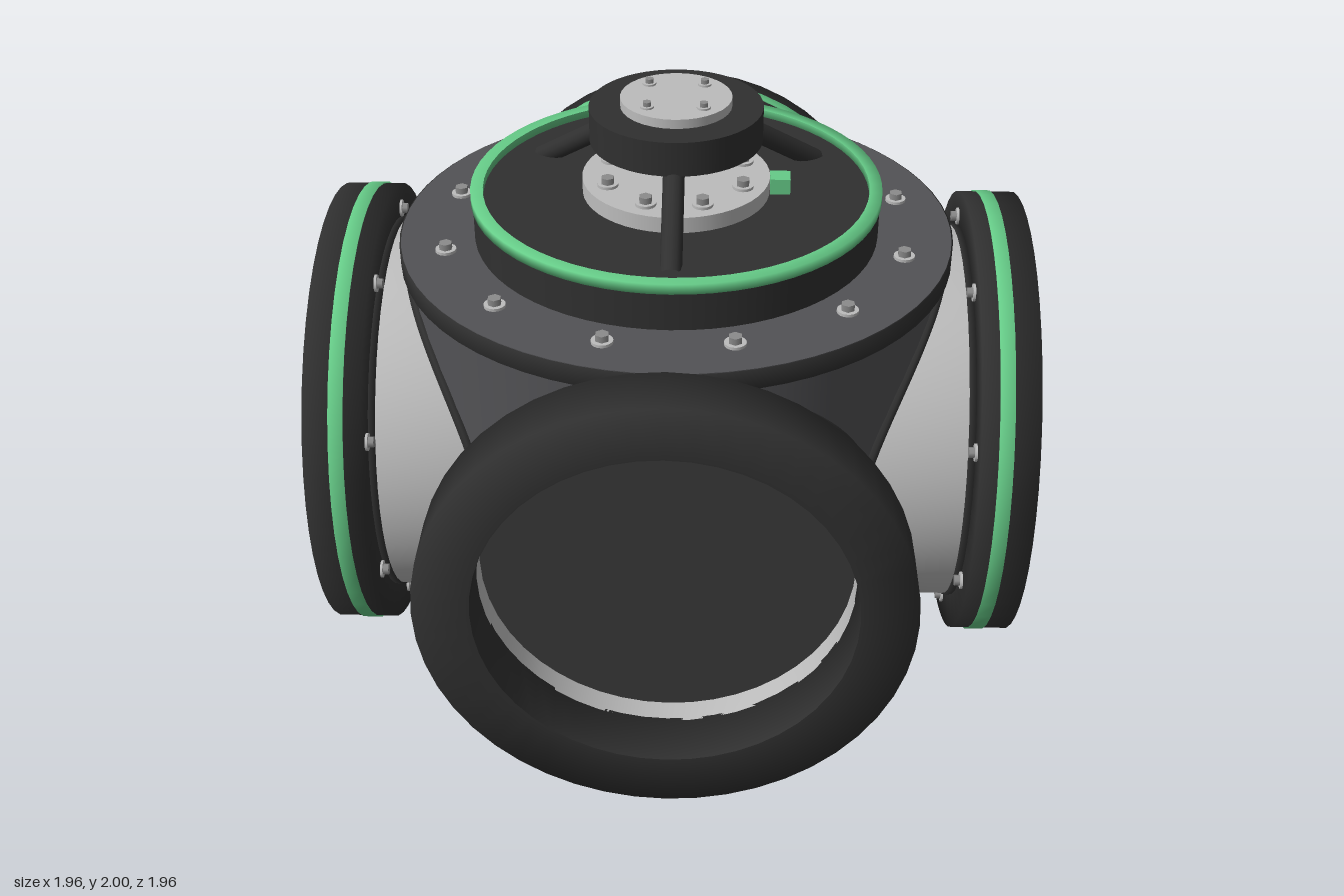
import * as THREE from 'three';

const mat = (name, color) => {
  const m = new THREE.MeshStandardMaterial({ color });
  m.name = name;
  return m;
};

export function createModel() {
  const dark = mat('dark rubber', 0x303030);
  const grey = mat('body grey', 0x525255);
  const glass = mat('window dark', 0x3a3a3a);
  const silver = mat('silver', 0xbcbcbc);
  const steel = mat('bolt steel', 0x8c8c8c);
  const green = mat('green', 0x66cc88);

  const root = new THREE.Group();
  root.name = 'vessel';
  const CY = 0.98, BODY_R = 0.75, TUBE_R = 0.55;

  const add = (parent, name, geo, material) => {
    const mesh = new THREE.Mesh(geo, material);
    mesh.name = name;
    parent.add(mesh);
    return mesh;
  };
  // upright cylinder between two heights
  const disc = (parent, name, r, y0, y1, material, seg = 48) => {
    const m = add(parent, name, new THREE.CylinderGeometry(r, r, y1 - y0, seg), material);
    m.position.y = (y0 + y1) / 2;
    return m;
  };
  // rectangular-section ring between two heights, softly shaded
  const ring = (ri, ro, y0, y1, seg = 48) => new THREE.LatheGeometry(
    [[ri, y1], [ri, y0], [ro, y0], [ro, y1], [ri, y1]].map(p => new THREE.Vector2(...p)), seg);
  // washer with a hexagonal head
  const bolt = (parent, x, y, z, s = 1) => {
    const b = new THREE.Group();
    b.name = 'bolt';
    disc(b, 'washer', 0.029 * s, 0, 0.008 * s, silver, 16);
    disc(b, 'boltHead', 0.019 * s, 0.008 * s, 0.026 * s, steel, 6);
    b.position.set(x, y, z);
    parent.add(b);
    return b;
  };
  const boltCircle = (parent, n, r, y, s, offset = Math.PI / n) => {
    for (let i = 0; i < n; i++) {
      const a = offset + i * 2 * Math.PI / n;
      bolt(parent, r * Math.cos(a), y, r * Math.sin(a), s);
    }
  };

  // main drum with its two flanges
  disc(root, 'drum', BODY_R, 0.42, 1.54, grey, 64);
  for (const [name, y0, y1] of [['bottomFlange', 0.38, 0.435], ['topFlange', 1.53, 1.59]]) {
    disc(root, name, 0.77, y0, y1, grey, 64);
    add(root, name + 'Rim', ring(0.755, 0.774, y0 + 0.002, y1 - 0.002, 64), dark);
  }
  boltCircle(root, 12, 0.65, 1.59, 1);

  // stem and chamfered foot plate
  disc(root, 'stem', 0.172, 0.04, 0.4, dark, 32);
  const foot = new THREE.Shape();
  const w = 0.37, c = 0.25;
  [[w, c], [c, w], [-c, w], [-w, c], [-w, -c], [-c, -w], [c, -w], [w, -c]]
    .forEach(([x, y], i) => (i ? foot.lineTo(x, y) : foot.moveTo(x, y)));
  foot.closePath();
  const footGeo = new THREE.ExtrudeGeometry(foot, { depth: 0.048, bevelEnabled: false });
  add(root, 'footPlate', footGeo.rotateX(-Math.PI / 2), dark);
  boltCircle(root, 4, 0.35, 0.048, 1);

  // seam where a side tube meets the drum
  const seamPoints = [];
  for (let i = 0; i < 64; i++) {
    const a = i * Math.PI / 32;
    const x = TUBE_R * Math.cos(a);
    seamPoints.push(new THREE.Vector3(x, TUBE_R * Math.sin(a), Math.sqrt(BODY_R ** 2 - x * x)));
  }
  const seamGeo = new THREE.TubeGeometry(new THREE.CatmullRomCurve3(seamPoints, true), 96, 0.016, 6, true);

  // four identical ports; the front one carries no green band
  for (let k = 0; k < 4; k++) {
    const port = new THREE.Group();
    port.name = ['front', 'left', 'back', 'right'][k] + 'Port';
    const axis = new THREE.Group();
    axis.name = 'portBarrel';
    axis.rotation.x = Math.PI / 2;
    port.add(axis);
    add(axis, 'tube', ring(0.5, TUBE_R, 0.4, 0.83), silver);
    add(axis, 'tubeCollar', ring(0.51, TUBE_R + 0.004, 0.803, 0.825), dark);
    add(axis, 'portRing', ring(0.5, 0.65, 0.822, 0.98), dark);
    if (k) add(axis, 'greenBand', ring(0.64, 0.654, 0.87, 0.91), green);
    disc(axis, 'window', 0.502, 0.752, 0.76, glass);
    for (let i = 0; i < 8; i++) {
      const a = (i + 0.5) * Math.PI / 4;
      bolt(axis, 0.578 * Math.cos(a), 0.822, 0.578 * Math.sin(a), 0.85).rotation.x = Math.PI;
    }
    add(port, 'seam', seamGeo, dark);
    port.position.y = CY;
    port.rotation.y = k * Math.PI / 2;
    root.add(port);
  }

  // lid with green rim and pointer block
  disc(root, 'lid', 0.565, 1.585, 1.705, dark, 64);
  add(root, 'lidGreenRim', ring(0.535, 0.57, 1.698, 1.727, 64), green);
  const pointer = add(root, 'pointerBlock', new THREE.BoxGeometry(0.056, 0.056, 0.056), green);
  pointer.position.set(0.288, 1.722, 0);

  // bolted hub
  disc(root, 'hub', 0.26, 1.7, 1.75, silver);
  boltCircle(root, 8, 0.2, 1.75, 1);

  // three sloping struts carrying the cap
  for (let i = 0; i < 3; i++) {
    const a = Math.PI / 2 + i * 2 * Math.PI / 3;
    const at = (r, y) => new THREE.Vector3(r * Math.cos(a), y, r * Math.sin(a));
    const path = new THREE.LineCurve3(at(0.455, 1.69), at(0.15, 1.89));
    add(root, 'strut', new THREE.TubeGeometry(path, 1, 0.029, 12), dark);
  }
  disc(root, 'cap', 0.237, 1.86, 1.957, dark);
  disc(root, 'capPlate', 0.152, 1.95, 1.983, silver, 32);
  boltCircle(root, 4, 0.107, 1.983, 0.65);

  return root;
}
